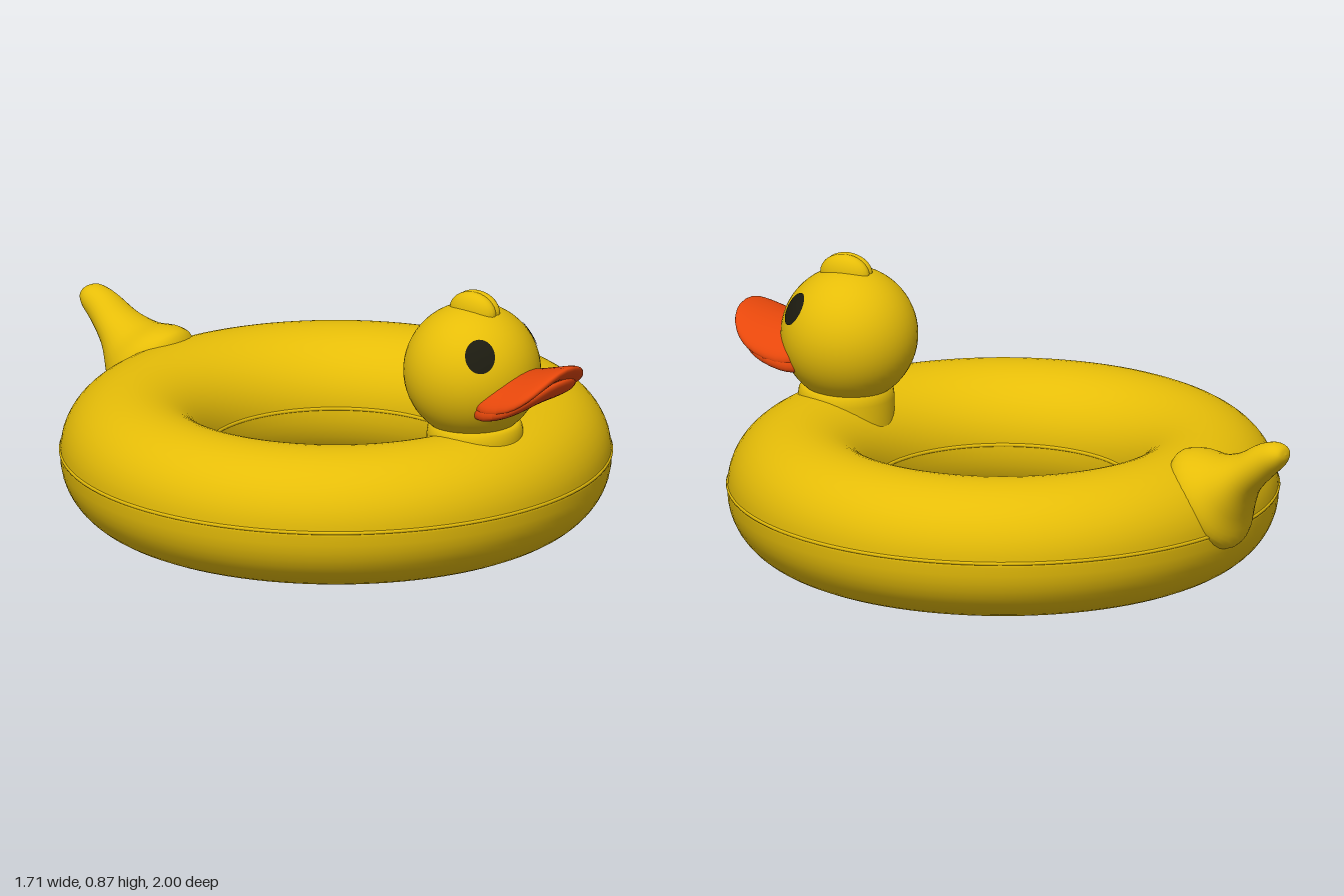
import * as THREE from 'three';

const yellow = new THREE.MeshStandardMaterial({ color: 0xe6bd08 });
yellow.name = 'duckYellow';
const orange = new THREE.MeshStandardMaterial({ color: 0xe6470b });
orange.name = 'billOrange';
const black = new THREE.MeshStandardMaterial({ color: 0x1c1b10 });
black.name = 'eyeBlack';

const RING_Z = 0.066;
const v2 = (x, y) => new THREE.Vector2(x, y);

function add(parent, name, geometry, material, x = 0, y = 0, z = 0) {
  const mesh = new THREE.Mesh(geometry, material);
  mesh.name = name;
  mesh.position.set(x, y, z);
  parent.add(mesh);
  return mesh;
}

// Moves every vertex by a rule and refreshes the normals
function deform(geometry, rule) {
  const p = geometry.attributes.position;
  const v = new THREE.Vector3();
  for (let i = 0; i < p.count; i++) {
    rule(v.fromBufferAttribute(p, i));
    p.setXYZ(i, v.x, v.y, v.z);
  }
  geometry.computeVertexNormals();
  return geometry;
}

const soft = (n, e) => Math.sign(n) * Math.abs(n) ** e;

// Bill half: a rounded slab, curling up at the tip and drooping at the sides
function billGeometry(mid, curl, droop, thickness, length) {
  return deform(new THREE.SphereGeometry(1, 40, 24), (v) => {
    const sx = soft(v.x, 0.75), sz = soft(v.z, 0.75);
    const t = (sz + 1) / 2;
    v.set(
      sx * 0.175,
      mid + curl * t * t - droop * sx * sx + soft(v.y, 0.8) * thickness * (1 - 0.4 * t),
      0.06 + length * t
    );
  });
}

// Eye: a small oval laid over the head sphere
function eyeGeometry() {
  return deform(new THREE.RingGeometry(0, 1, 32, 4), (v) => {
    v.set(v.x * 0.046, v.y * 0.054, 0.207).setLength(0.2135);
  });
}

// Tail: oval sections strung between an upper and a lower outline
function tailGeometry() {
  const P = (z, y, w = 0) => new THREE.Vector3(w, y, z);
  const top = new THREE.CatmullRomCurve3([
    P(-0.58, 0.39, 0.12), P(-0.605, 0.45, 0.14), P(-0.65, 0.463, 0.15), P(-0.74, 0.458, 0.118),
    P(-0.82, 0.478, 0.084), P(-0.9, 0.522, 0.06), P(-0.955, 0.535, 0.047), P(-0.985, 0.525, 0.03), P(-0.997, 0.503, 0)
  ]);
  const bottom = new THREE.CatmullRomCurve3([
    P(-0.74, 0.17), P(-0.785, 0.165), P(-0.815, 0.185), P(-0.84, 0.27),
    P(-0.875, 0.35), P(-0.94, 0.42), P(-0.982, 0.46), P(-0.996, 0.485), P(-0.997, 0.503)
  ]);
  const rings = 40, sides = 32, pos = [], index = [];
  for (let i = 0; i <= rings; i++) {
    const a = top.getPoint(i / rings), b = bottom.getPoint(i / rings);
    for (let j = 0; j < sides; j++) {
      const q = (j / sides) * Math.PI * 2;
      const k = (1 + Math.cos(q)) / 2;
      pos.push(Math.max(a.x, 0) * Math.sin(q), b.y + (a.y - b.y) * k, b.z + (a.z - b.z) * k);
    }
  }
  for (let i = 0; i < rings; i++) {
    for (let j = 0; j < sides; j++) {
      const a = i * sides + j, b = i * sides + ((j + 1) % sides);
      index.push(a, b, a + sides, b, b + sides, a + sides);
    }
  }
  const g = new THREE.BufferGeometry();
  g.setAttribute('position', new THREE.Float32BufferAttribute(pos, 3));
  g.setIndex(index);
  g.computeVertexNormals();
  return g;
}

export function createModel() {
  const model = new THREE.Group();
  model.name = 'duckSwimRing';

  // Inflated ring
  const profile = [];
  for (let i = 0; i <= 48; i++) {
    const a = (i / 48) * Math.PI * 2;
    profile.push(v2(0.628 + 0.225 * Math.cos(a), 0.215 + 0.215 * soft(Math.sin(a), 0.95)));
  }
  add(model, 'ring', new THREE.LatheGeometry(profile, 96), yellow, 0, 0, RING_Z);

  // Welded seams around the outside and the hole
  for (const [name, radius] of [['outerSeam', 0.851], ['innerSeam', 0.405]]) {
    const seam = add(model, name, new THREE.TorusGeometry(radius, 0.006, 8, 96), yellow, 0, 0, RING_Z);
    seam.position.y = 0.226;
    seam.rotation.x = Math.PI / 2;
  }

  // Neck collar
  const collar = [v2(0.15, 0.32), v2(0.15, 0.41), v2(0.146, 0.437), v2(0.135, 0.446), v2(0.11, 0.45)];
  add(model, 'neck', new THREE.LatheGeometry(collar, 48), yellow, 0, 0, 0.655);

  // Head, turned slightly to its left
  const head = new THREE.Group();
  head.name = 'head';
  head.position.set(0, 0.61, 0.643);
  head.rotation.y = 0.155;
  model.add(head);
  add(head, 'skull', new THREE.SphereGeometry(0.213, 48, 32), yellow);

  // Crest in two lobes, and the eyes
  for (const side of [-1, 1]) {
    const lobe = add(head, 'crestLobe', new THREE.SphereGeometry(1, 24, 16), yellow, side * 0.011, 0.195, 0.01);
    lobe.scale.set(0.038, 0.062, 0.083);
    const eye = add(head, side > 0 ? 'leftEye' : 'rightEye', eyeGeometry(), black);
    eye.scale.setScalar(1.008);
    eye.rotation.set(-0.5, side * 0.84, 0, 'YXZ');
  }

  // Bill
  add(head, 'upperBill', billGeometry(-0.02, 0.08, 0.055, 0.042, 0.297), orange);
  add(head, 'lowerBill', billGeometry(-0.069, 0.075, 0.02, 0.05, 0.265), orange);

  // Tail
  add(model, 'tail', tailGeometry(), yellow);

  return model;
}
